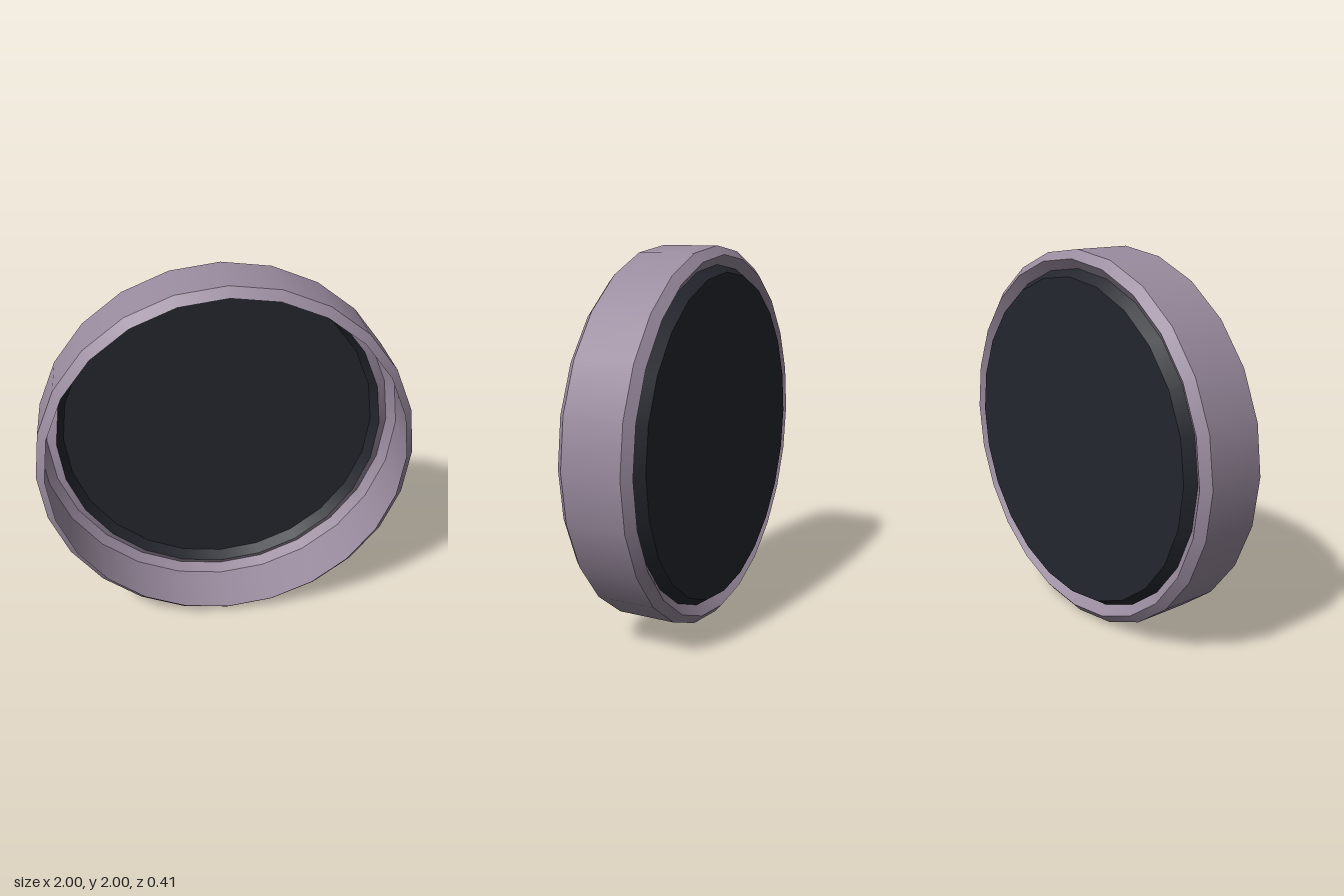
import * as THREE from 'three';
import { mergeGeometries } from 'three/addons/utils/BufferGeometryUtils.js';

const SIDES = 24;

// Revolves each [radius, z] profile span on its own: smooth around, sharp between bands
function bands(profile) {
  const parts = [];
  for (let i = 0; i < profile.length - 1; i++) {
    const span = [profile[i], profile[i + 1]].map(([r, z]) => new THREE.Vector2(r, z));
    parts.push(new THREE.LatheGeometry(span, SIDES).rotateX(Math.PI / 2));
  }
  return mergeGeometries(parts);
}

function addMesh(group, name, geometry, color) {
  const material = new THREE.MeshStandardMaterial({ color, side: THREE.DoubleSide });
  const mesh = new THREE.Mesh(geometry, material);
  mesh.name = name;
  mesh.position.y = 1;
  group.add(mesh);
}

export function createModel() {
  const group = new THREE.Group();
  group.name = 'roundCap';
  const rim = 0x9a8c9f, dark = 0x24262e;

  // Thin open shell: bevelled back ridge, side wall and bevelled front lip
  addMesh(group, 'rimShell', bands([
    [0.904, -0.15], [0.955, -0.19], [1, -0.15], [1, 0.162], [0.955, 0.207],
  ]), rim);

  // Dark back panel: sloped border and flat disc
  addMesh(group, 'panelBorder', bands([[0.867, -0.205], [0.904, -0.15]]), dark);
  const disc = new THREE.CircleGeometry(0.867, SIDES).rotateY(Math.PI).translate(0, 0, -0.205);
  addMesh(group, 'backPanel', disc, dark);

  return group;
}
